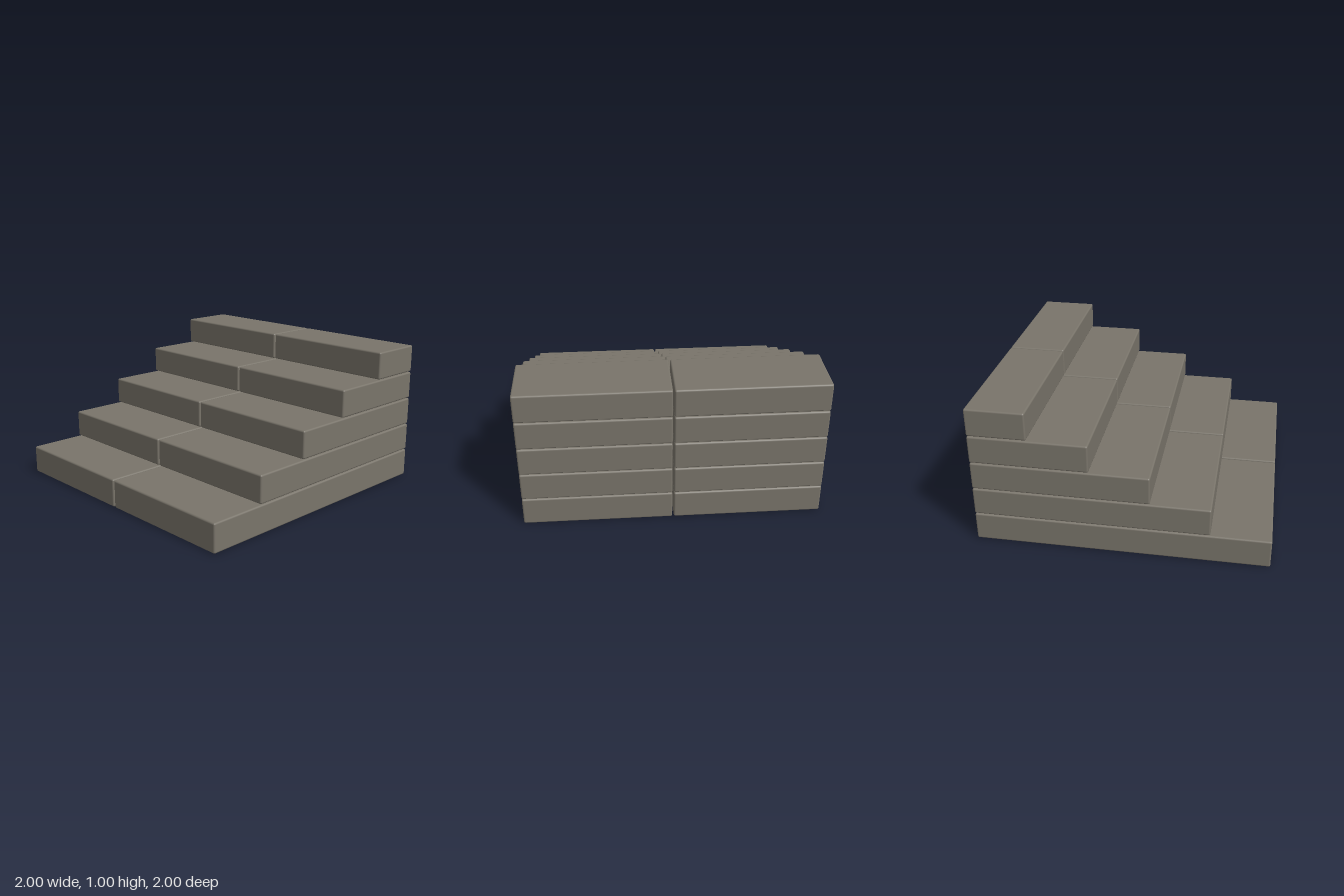
import * as THREE from 'three';
import { RoundedBoxGeometry } from 'three/addons/geometries/RoundedBoxGeometry.js';

const STEPS = 5;
const RISE = 0.2;   // height of one course
const TREAD = 0.4;  // visible depth of one tread
const GAP = 0.005;  // hairline joint between stones
const BEVEL = 0.012;

export function createModel() {
  const model = new THREE.Group();
  model.name = 'stoneSteps';
  const stone = new THREE.MeshStandardMaterial({ color: 0x79746a });

  for (let i = 0; i < STEPS; i++) {
    const course = new THREE.Group();
    course.name = `step${i + 1}`;

    // Every course starts at the back and ends one tread shorter than the one below
    const depth = 2 - i * TREAD;
    const bottom = i === 0 ? 0 : i * RISE + GAP;
    const height = (i + 1) * RISE - bottom;
    const width = 1 - GAP;
    const geometry = new RoundedBoxGeometry(width, height, depth, 2, BEVEL);

    // Two slabs side by side with a narrow joint on the centre line
    for (const side of [-1, 1]) {
      const slab = new THREE.Mesh(geometry, stone);
      slab.name = side > 0 ? 'leftSlab' : 'rightSlab';
      slab.position.set(side * (GAP + width / 2), bottom + height / 2, -1 + depth / 2);
      course.add(slab);
    }
    model.add(course);
  }
  return model;
}
